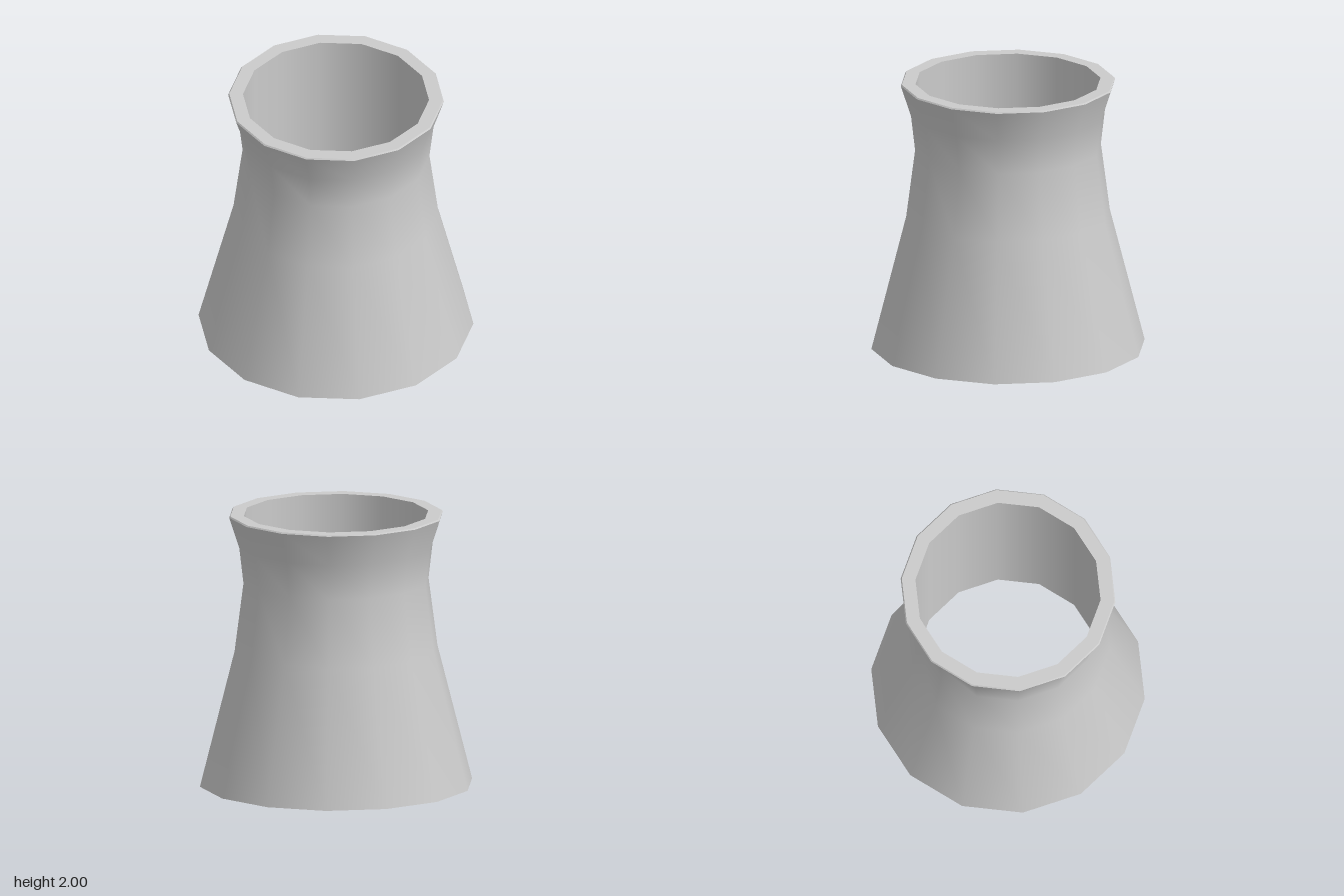
import * as THREE from 'three';

const SIDES = 14;

export function createModel() {
  const tower = new THREE.Group();
  tower.name = 'coolingTower';
  const material = new THREE.MeshStandardMaterial({ color: 0xcccccc, side: THREE.DoubleSide });

  // Turns a [radius, height] profile into a smooth ring with a corner on +z
  function addRing(name, profile) {
    const points = profile.map(([r, y]) => new THREE.Vector2(r, y));
    const mesh = new THREE.Mesh(new THREE.LatheGeometry(points, SIDES), material);
    mesh.name = name;
    tower.add(mesh);
  }

  // Waisted outer shell, open at the bottom
  addRing('outerShell', [[1, 0], [0.745, 1], [0.68, 1.5], [0.71, 1.76], [0.785, 1.99]]);

  // Narrow bevel and flat rim around the mouth
  addRing('rimBevel', [[0.785, 1.99], [0.777, 2]]);
  addRing('rim', [[0.777, 2], [0.677, 2]]);

  // Straight inner duct hanging from the rim, ending above the base
  addRing('innerDuct', [[0.677, 2], [0.677, 0.37]]);

  return tower;
}
